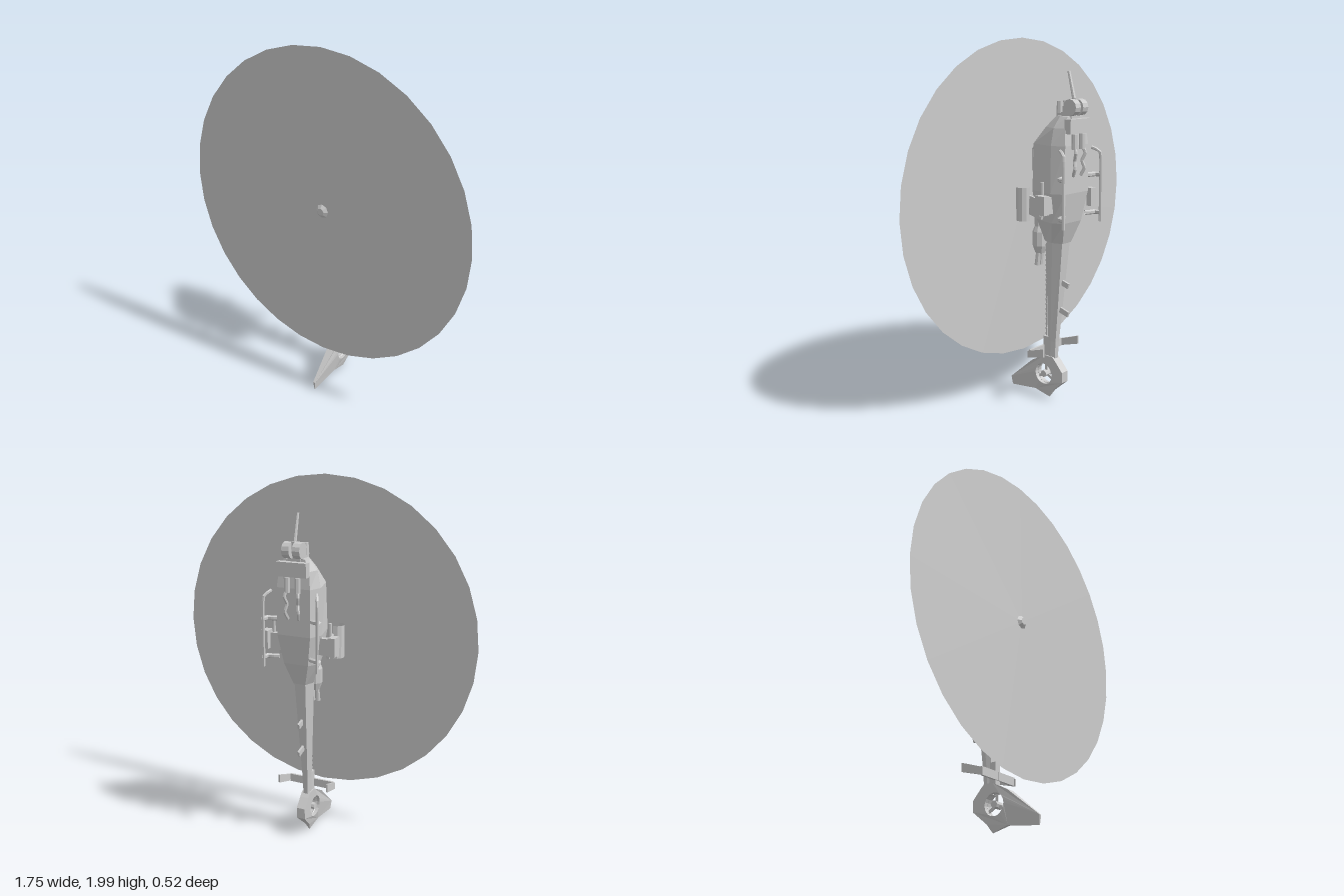
import * as THREE from 'three';

const grey = new THREE.MeshStandardMaterial({ color: 0xcccccc, flatShading: true, side: THREE.DoubleSide });

// Loft hexagonal sections: [y, zTop, zMid, zBelly, halfTop, halfMid, halfBelly]
function loft(sections) {
  const rings = sections.map(([y, zt, zm, zb, wt, wm, wb]) =>
    [[wt, zt], [wm, zm], [wb, zb], [-wb, zb], [-wm, zm], [-wt, zt]].map(([x, z]) => [x, y, z]));
  const pos = [];
  const tri = (...corners) => corners.forEach(c => pos.push(...c));
  for (let i = 0; i < rings.length - 1; i++) {
    for (let j = 0; j < 6; j++) {
      const k = (j + 1) % 6, a = rings[i], b = rings[i + 1];
      tri(a[j], a[k], b[k]);
      tri(a[j], b[k], b[j]);
    }
  }
  const low = rings[0], high = rings[rings.length - 1];
  for (let j = 1; j < 5; j++) {
    tri(low[0], low[j + 1], low[j]);
    tri(high[0], high[j], high[j + 1]);
  }
  const geo = new THREE.BufferGeometry();
  geo.setAttribute('position', new THREE.Float32BufferAttribute(pos, 3));
  geo.computeVertexNormals();
  return geo;
}

// Flat plate drawn in the z-y plane, thick along x
function sidePlate(points, thickness, hole) {
  const shape = new THREE.Shape(points.map(p => new THREE.Vector2(...p)));
  if (hole) shape.holes.push(new THREE.Path().absarc(hole[0], hole[1], hole[2], 0, Math.PI * 2, true));
  return new THREE.ExtrudeGeometry(shape, { depth: thickness, bevelEnabled: false, curveSegments: 10 })
    .translate(0, 0, -thickness / 2).rotateY(-Math.PI / 2);
}

const box = (w, h, d) => new THREE.BoxGeometry(w, h, d);
const cyl = (r1, r2, h, n = 8) => new THREE.CylinderGeometry(r1, r2, h, n);
const tube = (points, r, steps = 10) => new THREE.TubeGeometry(
  new THREE.CatmullRomCurve3(points.map(p => new THREE.Vector3(...p)), false, 'catmullrom', 0.2), steps, r, 6);

export function createModel() {
  const model = new THREE.Group();
  const add = (name, geo, pos = [0, 0, 0], rot = [0, 0, 0], parent = model) => {
    const mesh = new THREE.Mesh(geo, grey);
    mesh.name = name;
    mesh.position.set(...pos);
    mesh.rotation.set(...rot);
    parent.add(mesh);
    return mesh;
  };

  // Fuselage (nose up, belly towards -z) and tail boom
  add('fuselage', loft([
    [0.92, -0.02, -0.09, -0.15, 0.03, 0.055, 0.035],
    [1.04, 0.01, -0.13, -0.19, 0.06, 0.105, 0.07],
    [1.2, 0.02, -0.14, -0.215, 0.085, 0.125, 0.095],
    [1.45, 0.02, -0.14, -0.215, 0.075, 0.12, 0.095],
    [1.54, -0.05, -0.14, -0.205, 0.055, 0.1, 0.085],
    [1.6, -0.105, -0.15, -0.2, 0.035, 0.06, 0.06],
  ]));
  add('tailBoom', loft([
    [0.2, -0.02, -0.05, -0.075, 0.012, 0.02, 0.012],
    [0.35, -0.03, -0.055, -0.085, 0.015, 0.024, 0.015],
    [0.93, -0.03, -0.09, -0.145, 0.03, 0.05, 0.032],
  ]));

  // Rotor disc, hub and mast
  add('rotorDisc', new THREE.CircleGeometry(0.875, 32), [0, 1.125, 0.165]);
  add('rotorHub', cyl(0.02, 0.045, 0.02), [0, 1.125, 0.17], [Math.PI / 2, 0, 0]);
  add('rotorMast', cyl(0.014, 0.014, 0.16), [0, 1.125, 0.09], [Math.PI / 2, 0, 0]);

  // Gearbox and exhaust behind the mast
  const gearbox = [[0, 1.2], [0.03, 1.2], [0.032, 1.04], [0.03, 0.99], [0.042, 0.96], [0.042, 0.88], [0.028, 0.84], [0, 0.84]];
  add('gearboxHousing', new THREE.LatheGeometry(gearbox.map(p => new THREE.Vector2(...p)).reverse(), 10), [0, 0, 0.04]);
  for (const x of [-0.014, 0.014])
    add('exhaustPipe', cyl(0.013, 0.015, 0.08), [x, 0.81, 0.045], [-0.12, 0, 0]);

  // Tail drive shaft with couplings
  add('driveShaft', cyl(0.006, 0.006, 0.62, 6), [0, 0.59, -0.01]);
  for (let i = 0; i < 22; i++) add('shaftCoupling', cyl(0.009, 0.009, 0.012, 6), [0, 0.3 + i * 0.028, -0.01]);

  // Tail fin with ducted rotor, thinned to an edge at its tip
  const finGeo = sidePlate([[0.26, 0.06], [0.255, 0.01], [0.07, 0.035], [-0.03, 0.01], [-0.06, 0.055],
    [-0.14, 0.125], [-0.14, 0.185], [-0.095, 0.235], [-0.07, 0.26], [-0.015, 0.26], [0.08, 0.21]], 0.05, [-0.005, 0.147, 0.06]);
  const p = finGeo.attributes.position;
  for (let i = 0; i < p.count; i++)
    p.setX(i, p.getX(i) * THREE.MathUtils.clamp(p.getY(i) / 0.1, 0.12, 1) * (p.getZ(i) > 0.2 ? 0.5 : 1));
  finGeo.computeVertexNormals();
  add('tailFin', finGeo);
  add('tailRotorRing', new THREE.TorusGeometry(0.062, 0.006, 6, 20), [0, 0.147, -0.005], [0, Math.PI / 2, 0]);
  add('tailRotorHub', cyl(0.02, 0.02, 0.05), [0, 0.147, -0.005], [0, 0, Math.PI / 2]);
  for (let i = 0; i < 3; i++) {
    const a = i * Math.PI * 2 / 3;
    add('tailRotorBlade', box(0.006, 0.06, 0.016), [0, 0.147 + 0.033 * Math.cos(a), -0.005 + 0.033 * Math.sin(a)], [a, 0, 0]);
  }
  add('tailFairing', box(0.035, 0.14, 0.06), [0, 0.3, -0.03]);

  // Nose: gun, twin sensor drums, chin box and sight
  add('gunBarrel', cyl(0.008, 0.011, 0.17), [0, 1.745, -0.18], [0.25, 0, 0]);
  add('gunMount', box(0.02, 0.06, 0.03), [0, 1.66, -0.2]);
  for (const x of [-0.03, 0.03]) {
    add('sensorDrum', cyl(0.043, 0.043, 0.042, 12), [x, 1.645, -0.205], [0, 0, Math.PI / 2]);
    add('sightEye', cyl(0.016, 0.02, 0.06), [x * 0.8, 1.645, -0.12]);
    add('bellyBarrel', cyl(0.017, 0.017, 0.08), [x, 1.47, -0.225]);
    add('bellyCable', tube([[x, 1.45, -0.225], [x * 1.3, 1.41, -0.24], [x, 1.37, -0.225], [x * 1.3, 1.33, -0.235], [x, 1.29, -0.215]], 0.009, 16));
  }
  add('noseNeck', box(0.07, 0.1, 0.06), [0, 1.6, -0.175]);
  add('sightBase', box(0.07, 0.03, 0.05), [0, 1.605, -0.13]);
  add('chinBox', box(0.17, 0.075, 0.04), [0, 1.55, -0.222]);

  // Belly blade antennas
  for (const y of [0.69, 0.53]) add('bellyAntenna', box(0.012, 0.03, 0.06), [0, y, -0.135], [-0.3, 0, 0]);

  // Paired parts on both sides
  for (const side of [-1, 1]) {
    const at = (x, y, z) => [side * x, y, z];

    // Landing skid with bowed legs
    add('skid', tube([at(0.13, 1.43, -0.21), at(0.15, 1.41, -0.25), at(0.155, 1.36, -0.255), at(0.155, 1.1, -0.255), at(0.155, 1.03, -0.255)], 0.009, 16));
    for (const y of [1.08, 1.285])
      add('skidLeg', tube([at(0.09, y, -0.2), at(0.12, y, -0.215), at(0.15, y, -0.22), at(0.157, y, -0.255)], 0.013));

    // Stub wing with a pod and rod at its tip
    add('stubWing', box(0.12, 0.09, 0.03), at(0.155, 1.14, -0.13));
    add('wingPod', box(0.04, 0.1, 0.06), at(0.195, 1.15, -0.145));
    add('wingRod', cyl(0.009, 0.009, 0.17), at(0.165, 1.18, -0.12));

    // Curved side shield with its slanted support
    add('sideShield', new THREE.CylinderGeometry(0.042, 0.042, 0.18, 6, 1, true, side > 0 ? -0.1 : 0.1, side * 3.3),
      at(0.13, 1.13, 0.042));
    add('shieldSupport', box(0.014, 0.1, 0.12), at(0.132, 1.12, -0.045), [-0.15, side * -0.14, 0]);
    add('shieldBrace', box(0.012, 0.08, 0.07), at(0.115, 1.12, -0.02), [0, side * 0.5, 0]);

    // Tailplane and its swept end plate
    add('tailplane', box(0.13, 0.045, 0.012), at(0.068, 0.295, 0.0));
    add('tailEndPlate', sidePlate([[0.012, 0.27], [0.012, 0.31], [-0.115, 0.352], [-0.115, 0.305]], 0.01),
      at(0.136, 0, 0), [0, side * -0.1, 0]);

    // Roof handle
    add('roofHandle', tube([at(0.05, 1.44, 0.01), at(0.05, 1.42, 0.045), at(0.05, 1.3, 0.045), at(0.05, 1.28, 0.01)], 0.006, 14));
  }
  return model;
}
